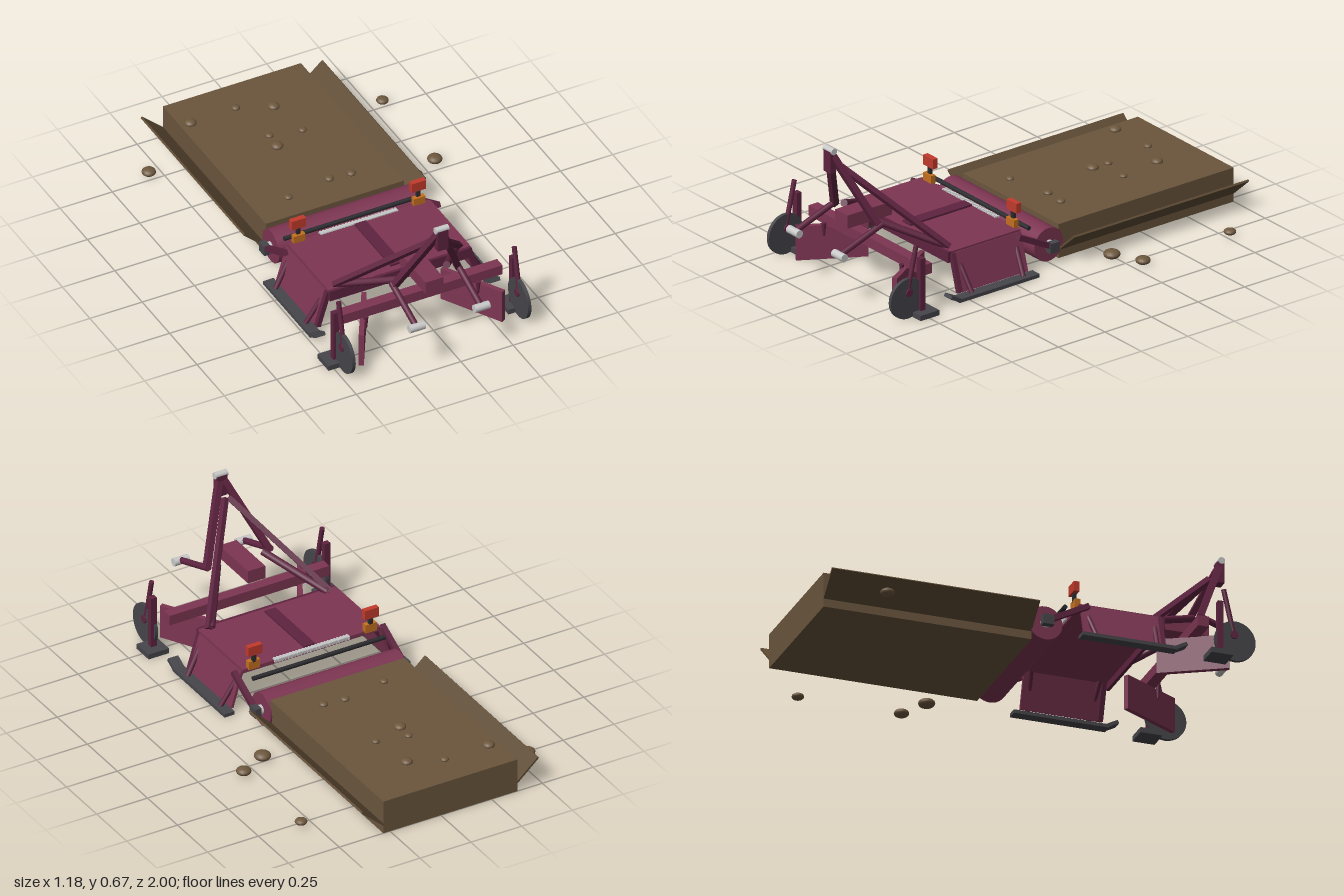
import * as THREE from 'three';

const mat = (name, color) => {
  const m = new THREE.MeshStandardMaterial({ color });
  m.name = name;
  return m;
};

export function createModel() {
  const paint = mat('maroon paint', 0x7d3552);
  const frame = mat('dark maroon frame', 0x5f2440);
  const iron = mat('dark iron', 0x46464b);
  const rubber = mat('black rubber', 0x2b2b2f);
  const steel = mat('bright steel', 0xc9c9c9);
  const red = mat('red lamp', 0xc23b2c);
  const orange = mat('orange lamp', 0xc4701f);
  const soil = mat('soil', 0x6b563d);
  const furrow = mat('furrow soil', 0x5f4c35);
  const stoneMat = mat('stone', 0x6e583e);

  const model = new THREE.Group();
  model.name = 'bedFormer';
  const body = new THREE.Group();
  body.name = 'machineAndBed';
  body.position.x = -0.047;
  model.add(body);

  const add = (name, geo, material, x, y, z) => {
    const mesh = new THREE.Mesh(geo, material);
    mesh.name = name;
    mesh.position.set(x, y, z);
    body.add(mesh);
    return mesh;
  };
  const box = (name, m, w, h, d, x, y, z) => add(name, new THREE.BoxGeometry(w, h, d), m, x, y, z);
  // Round rod lying along x
  const axle = (name, m, r, len, x, y, z, sides = 24) =>
    add(name, new THREE.CylinderGeometry(r, r, len, sides).rotateZ(Math.PI / 2), m, x, y, z);
  // Bar between two points: round, or square when square is true
  const bar = (name, m, a, b, r, square = false) => {
    const p = new THREE.Vector3(...a), q = new THREE.Vector3(...b);
    const len = p.distanceTo(q);
    const geo = square ? new THREE.BoxGeometry(2 * r, len, 2 * r) : new THREE.CylinderGeometry(r, r, len, 12);
    const mesh = add(name, geo, m, ...p.clone().add(q).multiplyScalar(0.5).toArray());
    mesh.quaternion.setFromUnitVectors(new THREE.Vector3(0, 1, 0), q.sub(p).normalize());
    return mesh;
  };

  // Formed soil bed
  box('soilBed', soil, 0.66, 0.158, 0.94, 0, 0.079, -0.53);

  // Open forming tunnel
  box('hoodTop', paint, 0.676, 0.018, 0.375, 0, 0.188, 0.34);
  box('hoodRib', frame, 0.054, 0.01, 0.33, 0, 0.201, 0.335);
  box('hoodFrontLip', frame, 0.676, 0.05, 0.015, 0, 0.172, 0.533);
  box('rearStrip', steel, 0.37, 0.012, 0.02, 0, 0.195, 0.155);
  for (let i = 0; i < 24; i++) {
    box('stripTooth', steel, 0.008, 0.016, 0.023, -0.179 + i * 0.01557, 0.195, 0.155);
  }
  axle('rearWiperBar', rubber, 0.01, 0.65, 0, 0.18, 0.095, 12);

  // Finishing roller
  axle('roller', paint, 0.077, 0.676, 0, 0.083, 0, 32);
  axle('rollerAxle', steel, 0.022, 0.75, 0, 0.083, 0);

  // Cross beam and hitch
  box('crossBeam', paint, 0.786, 0.047, 0.05, 0, 0.181, 0.695);
  box('gearBox', paint, 0.085, 0.061, 0.24, 0, 0.318, 0.73);
  box('mastHead', frame, 0.05, 0.1, 0.03, 0, 0.607, 0.912);
  axle('topPin', steel, 0.015, 0.062, 0, 0.658, 0.912);

  for (const s of [-1, 1]) {
    // Furrow slab flaring outward from the bed
    const flap = box('furrowSlab', furrow, 0.145, 0.009, 0.94, s * 0.38, 0.088, -0.53);
    flap.rotation.z = s * 0.73;

    // Tunnel side, its ribs and the skid under it
    const side = box('tunnelSide', paint, 0.012, 0.175, 0.35, s * 0.365, 0.105, 0.33);
    side.rotation.z = s * 0.29;
    bar('frontCorner', frame, [s * 0.335, 0.185, 0.515], [s * 0.385, 0.02, 0.515], 0.011, true);
    for (const [z1, z2] of [[0.182, 0.2], [0.492, 0.475]]) {
      bar('sideRib', frame, [s * 0.325, 0.18, z1], [s * 0.42, 0.02, z2], 0.011);
    }
    box('skid', iron, 0.05, 0.016, 0.43, s * 0.418, 0.012, 0.345);
    bar('skidTip', iron, [s * 0.418, 0.012, 0.55], [s * 0.418, 0.04, 0.603], 0.008, true).scale.x = 3.1;

    // Roller arm and bearing
    bar('rollerArm', frame, [s * 0.365, 0.178, 0.185], [s * 0.365, 0.083, 0], 0.012, true);
    box('bearing', iron, 0.03, 0.045, 0.05, s * 0.367, 0.083, 0);

    // Lamp
    box('orangeLamp', orange, 0.055, 0.04, 0.024, s * 0.287, 0.212, 0.155);
    box('lampPost', rubber, 0.018, 0.045, 0.014, s * 0.287, 0.248, 0.15);
    box('redLamp', red, 0.068, 0.045, 0.025, s * 0.287, 0.287, 0.148);

    // Gathering wing below the cross beam
    const wing = box('gatheringWing', paint, 0.022, 0.157, 0.311, s * 0.263, 0.08, 0.695);
    wing.rotation.y = s * 0.521;
    add('wingPeg', new THREE.CylinderGeometry(0.011, 0.005, 0.06, 8), frame, s * 0.268, 0.142, 0.735);

    // Furrow disc, its arm, post and foot
    axle('disc', iron, 0.092, 0.016, s * 0.42, 0.093, 0.825, 32);
    axle('discHub', frame, 0.018, 0.03, s * 0.42, 0.12, 0.82, 12);
    bar('discArm', frame, [s * 0.42, 0.13, 0.82], [s * 0.42, 0.328, 0.775], 0.011);
    box('post', frame, 0.028, 0.25, 0.025, s * 0.427, 0.14, 0.755);
    box('postFoot', iron, 0.1, 0.024, 0.1, s * 0.43, 0.012, 0.748);

    // Hitch frame
    bar('mastLeg', frame, [s * 0.012, 0.63, 0.905], [s * 0.155, 0.31, 0.765], 0.014, true);
    bar('mastStay', frame, [s * 0.008, 0.568, 0.86], [s * 0.3, 0.2, 0.505], 0.012, true);
    bar('lowerBrace', frame, [s * 0.11, 0.325, 0.75], [s * 0.285, 0.2, 0.505], 0.016);
    bar('lowerArm', frame, [s * 0.155, 0.322, 0.755], [s * 0.155, 0.243, 0.975], 0.014);
    axle('lowerPin', steel, 0.018, 0.072, s * 0.155, 0.24, 0.981);
  }

  // Stones: x, z, radius; the outer ones lie on the ground
  const stones = [
    [-0.56, -0.78, 0.031], [-0.33, -0.84, 0.027], [-0.11, -0.845, 0.019], [0.037, -0.78, 0.026],
    [-0.075, -0.605, 0.018], [-0.08, -0.525, 0.027], [0.068, -0.575, 0.018], [-0.206, -0.18, 0.018],
    [0.008, -0.217, 0.02], [0.108, -0.207, 0.02], [0.552, -0.77, 0.027], [0.556, -0.3, 0.033],
    [0.425, -0.235, 0.037],
  ];
  for (const [x, z, r] of stones) {
    const onBed = x > -0.5 && x < 0.4;
    const stone = add('stone', new THREE.SphereGeometry(r, 16, 10), stoneMat, x + 0.047, onBed ? 0.162 : 0.022, z);
    stone.scale.y = 0.55;
  }
  return model;
}
